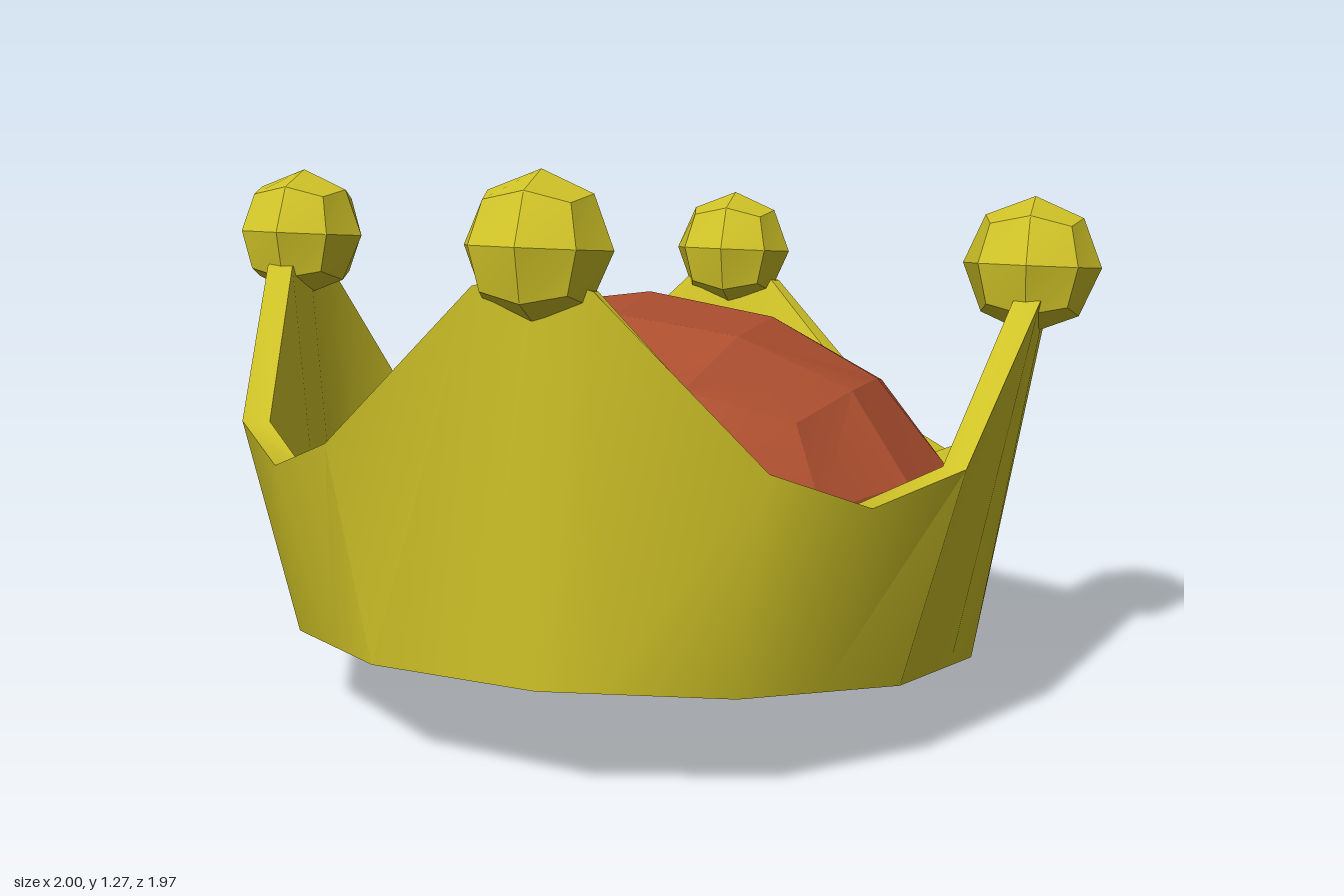
import * as THREE from 'three';
import { toCreasedNormals } from 'three/addons/utils/BufferGeometryUtils.js';

const gold = new THREE.MeshStandardMaterial({ color: 0xd1c428 });
gold.name = 'gold';
const red = new THREE.MeshStandardMaterial({ color: 0xb05030 });
red.name = 'red velvet';

// Faceted sphere made from a subdivided cube with evenly spaced rows
function quadSphere(radius, n) {
  const geo = new THREE.BoxGeometry(2, 2, 2, n, n, n);
  const p = geo.attributes.position;
  const v = new THREE.Vector3();
  for (let i = 0; i < p.count; i++) {
    v.fromBufferAttribute(p, i);
    v.set(...v.toArray().map((c) => Math.tan(c * Math.PI / 4)));
    v.setLength(radius);
    p.setXYZ(i, v.x, v.y, v.z);
  }
  return geo;
}

// Flared band with four points and four valleys
function bandGeometry() {
  // One quarter facing +z: [top x, top z, top height, base x, base z]
  const peak = [0, 0.89, 0.82, 0, 0.765];
  const shoulder = [0.12, 0.882, 0.79, 0.12, 0.733];
  const corner = [0.45, 0.782, 0.46, 0.3825, 0.6625];
  const valley = [0.625, 0.625, 0.39, 0.5225, 0.5225];
  const mirror = ([x, z, h, bx, bz]) => [-x, z, h, -bx, bz];
  const quarter = [mirror(corner), mirror(shoulder), peak, shoulder, corner, valley];

  const sections = [];
  for (let k = 0; k < 4; k++) {
    const c = Math.cos(k * Math.PI / 2), s = Math.sin(k * Math.PI / 2);
    const at = (x, y, z, f) => [(x * c + z * s) * f, y, (z * c - x * s) * f];
    for (const [x, z, h, bx, bz] of quarter) {
      // outer base, outer rim, inner rim, inner base
      sections.push([at(bx, 0, bz, 1), at(x, h, z, 1), at(x, h, z, 0.935), at(bx, 0, bz, 0.92)]);
    }
  }
  const pos = [];
  sections.forEach((a, i) => {
    const b = sections[(i + 1) % sections.length];
    for (let j = 0; j < 4; j++) {
      const m = (j + 1) % 4;
      pos.push(...a[j], ...b[j], ...b[m], ...a[j], ...b[m], ...a[m]);
    }
  });
  const geo = new THREE.BufferGeometry();
  geo.setAttribute('position', new THREE.Float32BufferAttribute(pos, 3));
  return toCreasedNormals(geo, 0.6);
}

// Hollow dome: the sphere's lower half is folded up to form the lining
function domeGeometry(radius, height, lining) {
  const geo = quadSphere(radius, 4).toNonIndexed();
  const p = geo.attributes.position;
  for (let i = 0; i < p.count; i += 3) {
    const inner = p.getY(i) + p.getY(i + 1) + p.getY(i + 2) < 0;
    const f = inner ? lining : 1;
    for (let j = i; j < i + 3; j++) {
      p.setXYZ(j, p.getX(j) * f, Math.abs(p.getY(j)) * f * height / radius, p.getZ(j) * f);
    }
  }
  return toCreasedNormals(geo, 0.25);
}

function add(parent, name, geo, mat) {
  const mesh = new THREE.Mesh(geo, mat);
  mesh.name = name;
  parent.add(mesh);
  return mesh;
}

export function createModel() {
  const model = new THREE.Group();
  model.name = 'crown';

  // Whole crown leans back
  const tilted = new THREE.Group();
  tilted.name = 'tiltedCrown';
  tilted.rotation.x = -0.164;
  tilted.position.set(0, 0.125, 0.145);
  model.add(tilted);

  add(tilted, 'band', bandGeometry(), gold);

  // Ball on each point
  const ballGeo = toCreasedNormals(quadSphere(0.149, 2), 0.25);
  ['front', 'left', 'back', 'right'].forEach((side, k) => {
    const a = k * Math.PI / 2;
    const ball = add(tilted, side + 'Ball', ballGeo, gold);
    ball.position.set(0.851 * Math.sin(a), 0.867, 0.851 * Math.cos(a));
  });

  // Hollow velvet cap with a narrow hem underneath
  const cap = new THREE.Group();
  cap.name = 'cap';
  cap.position.y = 0.2;
  tilted.add(cap);
  add(cap, 'capDome', domeGeometry(0.745, 0.57, 0.965), red);
  add(cap, 'capHem', new THREE.RingGeometry(0.745 * 0.965, 0.745, 16).rotateX(Math.PI / 2), red);

  return model;
}
